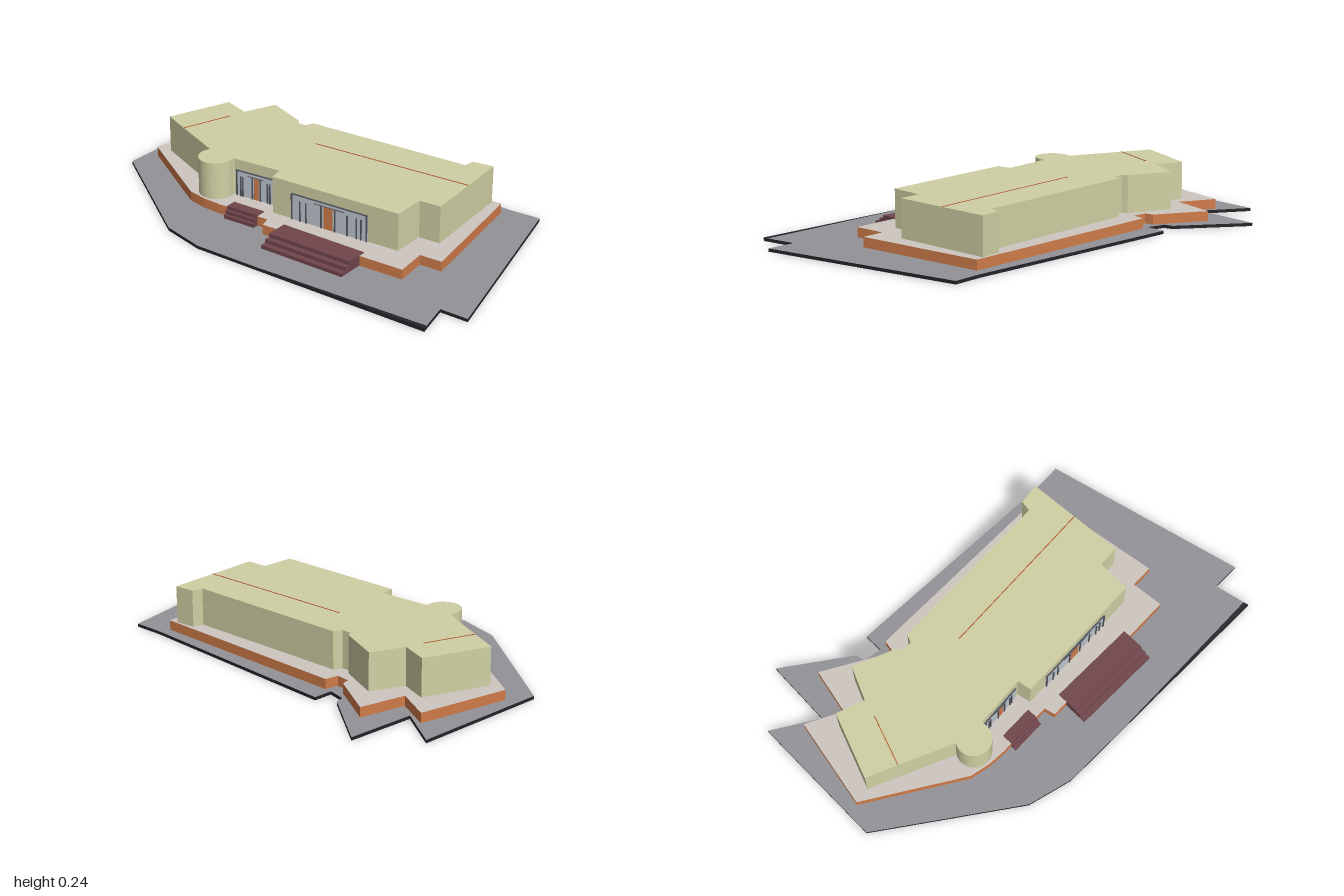
import * as THREE from 'three';

const mat = (name, color) => Object.assign(new THREE.MeshStandardMaterial({ color }), { name });

export function createModel() {
  const paving = mat('grey paving', 0x939297);
  const edge = mat('black edge', 0x26222a);
  const deck = mat('beige deck', 0xcec6bf);
  const brick = mat('orange brick', 0xd07c4a);
  const wall = mat('olive cream wall', 0xd0d0a4);
  const stairRed = mat('dark red stair', 0x70454b);
  const glass = mat('pale glass', 0xbfc6d0);
  const frame = mat('dark frame', 0x55555f);
  const ridge = mat('red ridge', 0xb8542c);

  const model = new THREE.Group();
  model.name = 'building';

  // Extrudes an outline of [x, z] corners upward from y0 to y1
  function slab(name, outline, y0, y1, materials) {
    const shape = new THREE.Shape(outline.map(([x, z]) => new THREE.Vector2(x, -z)));
    const geo = new THREE.ExtrudeGeometry(shape, { depth: y1 - y0, bevelEnabled: false });
    geo.rotateX(-Math.PI / 2).translate(0, y0, 0);
    const mesh = new THREE.Mesh(geo, materials);
    mesh.name = name;
    model.add(mesh);
  }

  // Box placed by its left, bottom, back corner
  function box(parent, name, material, x, y, z, w, h, d) {
    const mesh = new THREE.Mesh(new THREE.BoxGeometry(w, h, d), material);
    mesh.position.set(x + w / 2, y + h / 2, z + d / 2);
    mesh.name = name;
    parent.add(mesh);
  }

  // Group whose local x runs along a wall from one plan point to another
  function along(name, [x0, z0], [x1, z1], y = 0) {
    const g = new THREE.Group();
    g.name = name;
    g.position.set(x0, y, z0);
    g.rotation.y = -Math.atan2(z1 - z0, x1 - x0);
    model.add(g);
    return { g, length: Math.hypot(x1 - x0, z1 - z0) };
  }

  // Ground
  slab('ground', [
    [-1, -0.115], [-0.815, -0.755], [-0.64, -0.57], [-0.54, -0.885], [-0.3, -0.595],
    [-0.3, -0.55], [-0.22, -0.51], [-0.195, -0.6], [0.86, -0.285], [1, -0.255],
    [0.97, 0.735], [0.84, 0.7], [0.83, 0.875], [-0.33, 0.565], [-0.525, 0.455],
  ], 0, 0.015, [paving, edge]);
  slab('groundFrontEdge', [[0.03, 0.661], [0.83, 0.85], [0.83, 0.875]], 0.014, 0.016, edge);

  // Terrace
  slab('terrace', [
    [-0.912, -0.217], [-0.717, -0.617], [-0.573, -0.49], [-0.47, -0.692], [-0.278, -0.505],
    [-0.278, -0.463], [-0.214, -0.44], [-0.187, -0.5], [0.82, -0.243], [0.743, 0.39],
    [0.636, 0.366], [0.61, 0.52], [-0.107, 0.355], [-0.107, 0.3], [-0.375, 0.24],
    [-0.46, 0.213], [-0.55, 0.168],
  ], 0.015, 0.062, [deck, brick]);

  // Main walls and flat roof, with a round tower on the front corner
  const tower = [];
  for (let i = 0; i <= 20; i++) {
    const a = (i / 20) * Math.PI * 1.25;
    tower.push([-0.438 + 0.083 * Math.cos(a), 0.12 + 0.083 * Math.sin(a)]);
  }
  slab('walls', [
    [-0.834, -0.206], [-0.642, -0.473], [-0.524, -0.393], [-0.417, -0.527], [-0.24, -0.393],
    [-0.235, -0.366], [-0.187, -0.355], [-0.16, -0.388], [0.652, -0.211], [0.674, -0.26],
    [0.775, -0.245], [0.68, 0.232], [0.578, 0.21], [0.535, 0.366], [-0.112, 0.227],
    [-0.107, 0.158], [-0.348, 0.115], ...tower,
  ], 0.062, 0.241, wall);

  // Thin roof ridges
  for (const [a, b] of [[[-0.71, -0.11], [-0.567, -0.318]], [[-0.064, -0.174], [0.727, -0.013]]]) {
    const { g, length } = along('roofRidge', a, b, 0.24);
    box(g, 'ridge', ridge, 0, 0, -0.002, length, 0.003, 0.004);
  }

  // Stairs: three treads, each lower one reaching further out
  function stairs(name, a, b, depth) {
    const { g, length } = along(name, a, b);
    [[0.066, 0.66], [0.049, 0.83], [0.032, 1]].forEach(([top, reach], i) =>
      box(g, 'step' + (i + 1), stairRed, 0, 0.015, 0, length, top - 0.015, depth * reach));
  }
  stairs('mainStairs', [-0.016, 0.325], [0.406, 0.438], 0.165);
  stairs('sideStairs', [-0.315, 0.2], [-0.15, 0.238], 0.08);

  // Glazed entrances: posts and door are given as fractions of the width
  function entrance(name, a, b, posts, door) {
    const { g, length } = along(name, a, b, 0.062);
    box(g, 'glass', glass, 0, 0, 0, length, 0.126, 0.004);
    box(g, 'header', frame, 0, 0.124, 0, length, 0.004, 0.007);
    box(g, 'transom', frame, length * 0.3, 0.108, 0, length * 0.4, 0.003, 0.007);
    for (const [at, h] of posts) box(g, 'post', frame, at * length - 0.003, 0, 0, 0.006, h, 0.009);
    box(g, 'door', brick, door[0] * length, 0, 0, (door[1] - door[0]) * length, 0.106, 0.006);
  }
  entrance('mainEntrance', [-0.01, 0.249], [0.385, 0.334],
    [[0.01, 0.126], [0.12, 0.1], [0.2, 0.1], [0.4, 0.108], [0.58, 0.108], [0.74, 0.1], [0.86, 0.1],
      [0.92, 0.1], [0.99, 0.126]], [0.43, 0.55]);
  entrance('sideEntrance', [-0.34, 0.1165], [-0.125, 0.155],
    [[0.03, 0.126], [0.13, 0.1], [0.18, 0.1], [0.42, 0.108], [0.62, 0.108], [0.8, 0.1], [0.86, 0.1]],
    [0.46, 0.58]);

  return model;
}
